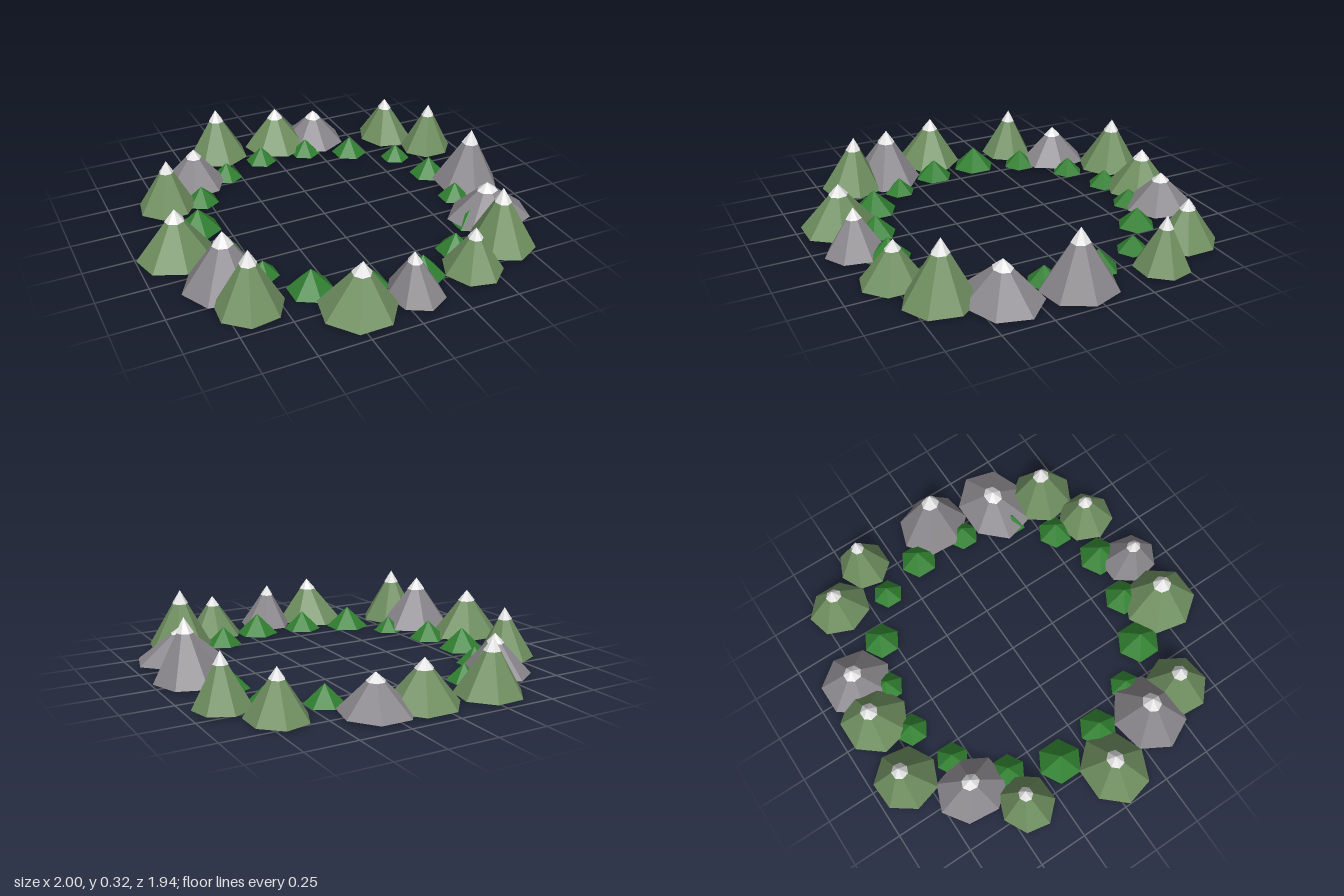
import * as THREE from 'three';

const paint = (name, color) => {
  const m = new THREE.MeshStandardMaterial({ color, flatShading: true });
  m.name = name;
  return m;
};

// One mountain per row: apex x, z, y, then base centre x, z, radii x, z and turn
const GREEN = [
  [-0.28, -0.84, 0.28, -0.28, -0.825, 0.165, 0.165, 0.05],
  [0.065, -0.81, 0.23, 0.065, -0.8, 0.18, 0.175, 0],
  [0.69, -0.645, 0.24, 0.69, -0.64, 0.145, 0.165, 0.22],
  [0.845, -0.41, 0.27, 0.835, -0.405, 0.142, 0.135, 0.45],
  [0.65, 0.61, 0.31, 0.655, 0.625, 0.165, 0.175, 0],
  [0.42, 0.74, 0.225, 0.41, 0.75, 0.145, 0.155, 0.23],
  [-0.19, 0.79, 0.25, -0.21, 0.79, 0.185, 0.195, 0.45],
  [-0.63, 0.56, 0.295, -0.64, 0.58, 0.165, 0.16, -0.3],
  [-0.8, 0.05, 0.26, -0.81, 0.065, 0.193, 0.17, 0],
  [-0.7, -0.4, 0.27, -0.715, -0.395, 0.15, 0.14, 0.5],
];
const GREY = [
  [0.29, -0.775, 0.19, 0.285, -0.775, 0.175, 0.185, 0],
  [0.84, 0.04, 0.315, 0.83, 0.03, 0.172, 0.19, -0.3],
  [0.735, 0.36, 0.19, 0.75, 0.375, 0.225, 0.185, 0],
  [0.06, 0.8, 0.235, 0.075, 0.8, 0.135, 0.155, 0],
  [-0.675, 0.36, 0.285, -0.68, 0.375, 0.205, 0.185, 0.2],
  [-0.5, -0.58, 0.205, -0.505, -0.585, 0.165, 0.185, 0.55],
];
// Hills: x, z, radius
const HILLS = [
  [-0.08, -0.67, 0.085], [0.185, -0.655, 0.085], [0.415, -0.55, 0.097], [0.625, -0.385, 0.08],
  [0.7, -0.145, 0.1], [0.695, 0.135, 0.085], [0.615, 0.4, 0.08], [0.43, 0.565, 0.095],
  [0.18, 0.68, 0.112], [-0.085, 0.645, 0.1], [-0.335, 0.565, 0.115], [-0.49, 0.365, 0.08],
  [-0.595, 0.12, 0.1], [-0.63, -0.14, 0.115], [-0.53, -0.385, 0.09], [-0.32, -0.58, 0.085],
];

const BASE_Y = 0.012;
const SNOW = 0.24; // share of the height under snow

// Seven-sided cone leaning so its tip sits over the origin
function peak(rx, rz, height, turn, leanX, leanZ) {
  const g = new THREE.ConeGeometry(1, 1, 7, 1, false, turn);
  g.translate(0, -0.5, 0);
  g.scale(rx, height, rz);
  const p = g.attributes.position;
  for (let i = 0; i < p.count; i++) {
    const drop = -p.getY(i) / height;
    p.setX(i, p.getX(i) + leanX * drop);
    p.setZ(i, p.getZ(i) + leanZ * drop);
  }
  g.computeVertexNormals();
  return g;
}

export function createModel() {
  const green = paint('mountain green', 0x6f8f60);
  const grey = paint('rock grey', 0x8a878c);
  const snow = paint('snow white', 0xeeeeee);
  const leaf = paint('hill green', 0x318031);
  const model = new THREE.Group();
  model.name = 'mountainRing';

  const addMountain = ([x, z, top, cx, cz, rx, rz, turn], material, name) => {
    const mountain = new THREE.Group();
    mountain.name = name;
    mountain.position.set(x, top, z);
    const h = top - BASE_Y;
    const slope = new THREE.Mesh(peak(rx, rz, h, turn, cx - x, cz - z), material);
    slope.name = 'slope';
    // Snow cap, a little wider than the slope beneath it
    const s = SNOW;
    const cap = new THREE.Mesh(
      peak(rx * s * 1.05, rz * s * 1.05, h * s, turn, (cx - x) * s, (cz - z) * s), snow);
    cap.name = 'snowCap';
    cap.position.y = 0.002;
    mountain.add(slope, cap);
    model.add(mountain);
  };
  GREEN.forEach((row) => addMountain(row, green, 'greenMountain'));
  GREY.forEach((row) => addMountain(row, grey, 'rockMountain'));

  // Six-sided hills along the inner edge
  for (const [x, z, r] of HILLS) {
    const h = r * 0.98;
    const hill = new THREE.Mesh(new THREE.ConeGeometry(r, h, 6), leaf);
    hill.name = 'hill';
    hill.position.set(x, h / 2, z);
    model.add(hill);
  }
  return model;
}
